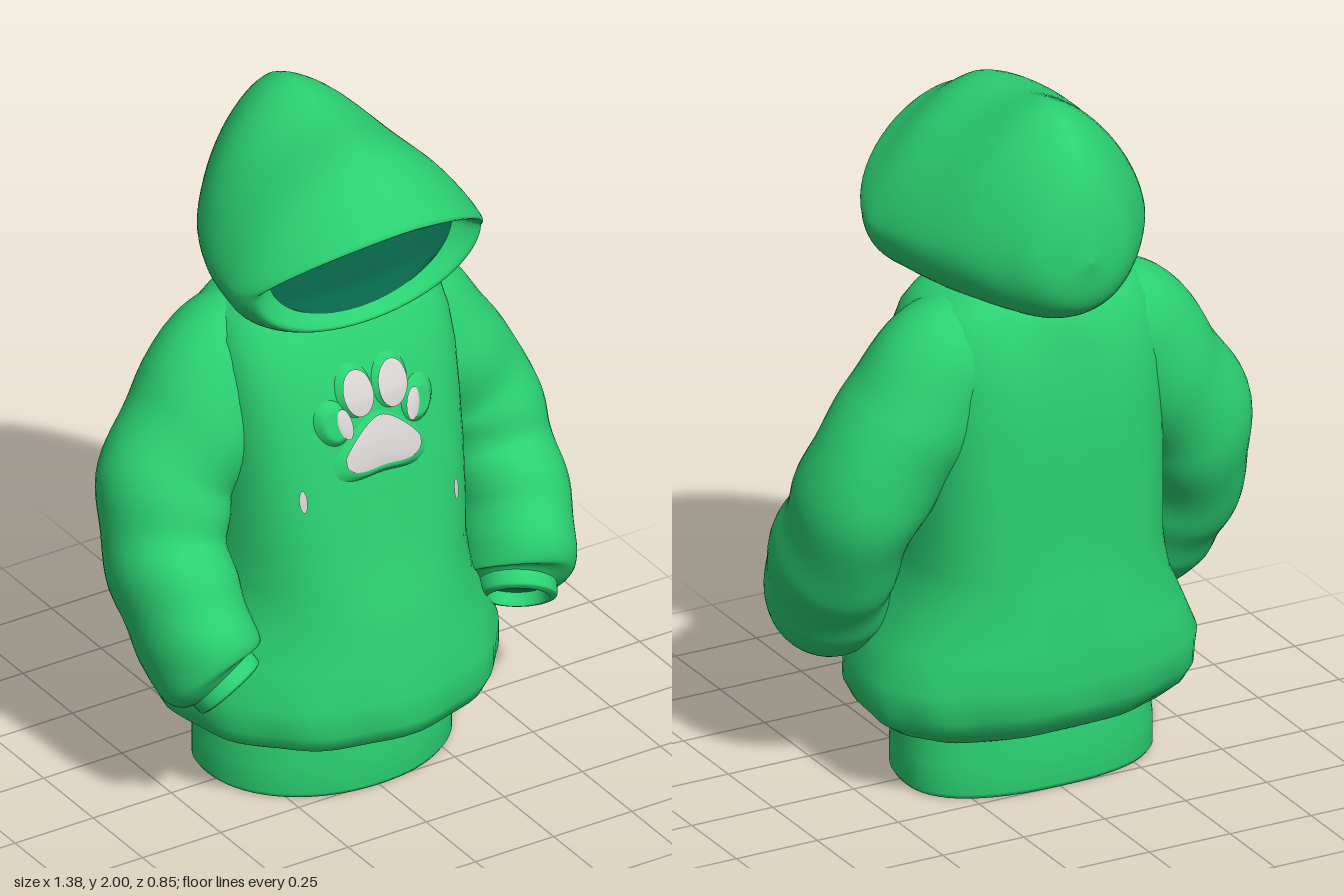
import * as THREE from 'three';

const V = (x, y, z) => new THREE.Vector3(x, y, z);
const mat = (name, color) => new THREE.MeshStandardMaterial({ name, color });

// Skin closed rings into a smooth surface; faces point outward, or inward on request
function loft(rings, inward = false) {
  const n = rings[0].length, pos = [], idx = [], c = V(0, 0, 0);
  rings.forEach(r => r.forEach(p => { pos.push(p.x, p.y, p.z); c.add(p); }));
  c.divideScalar(n * rings.length);
  for (let i = 0; i < rings.length - 1; i++) {
    for (let j = 0; j < n; j++) {
      const a = i * n + j, b = i * n + (j + 1) % n;
      idx.push(a, b, a + n, b, b + n, a + n);
    }
  }
  const at = k => V(pos[3 * k], pos[3 * k + 1], pos[3 * k + 2]).sub(c);
  let vol = 0;
  for (let k = 0; k < idx.length; k += 3) vol += at(idx[k]).dot(at(idx[k + 1]).cross(at(idx[k + 2])));
  if ((vol < 0) !== inward) idx.reverse();
  return surface(pos, idx);
}

function surface(pos, idx) {
  const g = new THREE.BufferGeometry();
  g.setAttribute('position', new THREE.Float32BufferAttribute(pos, 3));
  g.setIndex(idx);
  g.computeVertexNormals();
  return g;
}

// Torso rows: y, half width, front z, back z
const BODY = [
  [0.17, 0.365, 0.27, -0.26], [0.185, 0.41, 0.33, -0.29], [0.22, 0.46, 0.395, -0.325],
  [0.27, 0.485, 0.42, -0.355], [0.35, 0.488, 0.415, -0.37], [0.45, 0.445, 0.4, -0.365],
  [0.55, 0.4, 0.38, -0.36], [0.63, 0.38, 0.365, -0.355], [0.68, 0.372, 0.345, -0.35],
  [0.8, 0.365, 0.32, -0.345], [0.95, 0.362, 0.29, -0.34], [1.1, 0.362, 0.26, -0.335],
  [1.22, 0.362, 0.23, -0.325], [1.31, 0.355, 0.195, -0.305], [1.38, 0.34, 0.16, -0.28],
  [1.43, 0.305, 0.13, -0.25], [1.465, 0.25, 0.1, -0.215], [1.475, 0.17, 0.07, -0.17],
];
const BAND = [
  [0.19, 0.36, 0.265, -0.255], [0.1, 0.37, 0.272, -0.262], [0.015, 0.37, 0.272, -0.262],
  [0, 0.36, 0.262, -0.252], [0.005, 0.345, 0.248, -0.238], [0.19, 0.34, 0.245, -0.235],
];
const ZM = -0.04;
// Sections are round at the hem and squarer at the chest
const squareness = (y, hem) => hem + (3 - hem) * THREE.MathUtils.smoothstep(y, 0.5, 0.95);

// Closed torso section with a soft groove down the back
function section([y, w, zf, zb], inset = 0, folds = false, n = 72) {
  return Array.from({ length: n }, (_, i) => {
    const a = i / n * Math.PI * 2, s = Math.sin(a), c = Math.cos(a), e = 2 / squareness(y, c > 0 ? 2.1 : 2.4);
    const sx = Math.sign(s) * Math.abs(s) ** e, cz = Math.abs(c) ** e;
    const ripple = folds && y > 0.18 && y < 0.3 ? 1 + 0.012 * Math.sin(11 * a + 1) : 1;
    const x = sx * (w - inset) * ripple;
    let z = ZM + (c > 0 ? (zf - inset - ZM) * cz : (zb + inset - ZM) * cz) * ripple;
    if (folds && c < 0 && y > 0.3 && y < 1.35) z += 0.02 * Math.exp(-((x / 0.08) ** 2)) * cz;
    return V(x, y, z);
  });
}

// Depth of the chest surface at a point
function frontZ(x, y) {
  const k = BODY.findIndex(r => r[0] > y), a = BODY[k - 1], b = BODY[k], t = (y - a[0]) / (b[0] - a[0]);
  const w = a[1] + (b[1] - a[1]) * t, zf = a[2] + (b[2] - a[2]) * t, p = squareness(y, 2.1);
  return ZM + (zf - ZM) * (1 - Math.min(1, Math.abs(x) / w) ** p) ** (1 / p);
}

// Patch following the chest: outline(angle) gives an offset, lift(radius) gives height
function patch(cx, cy, outline, lift) {
  const rings = 8, n = 40, pos = [], idx = [];
  for (let i = 0; i <= rings; i++) {
    for (let j = 0; j < n; j++) {
      const r = i / rings, [dx, dy] = outline(j / n * Math.PI * 2), x = cx + dx * r, y = cy + dy * r;
      pos.push(x, y, frontZ(x, y) + lift(r));
      if (i < rings) {
        const a = i * n + j, b = i * n + (j + 1) % n;
        idx.push(a, a + n, b, b, a + n, b + n);
      }
    }
  }
  return surface(pos, idx);
}
const oval = (rx, ry, tilt = 0) => a => {
  const x = rx * Math.cos(a), y = ry * Math.sin(a), c = Math.cos(tilt), s = Math.sin(tilt);
  return [x * c - y * s, x * s + y * c];
};
// Rounded pad: wide below, narrow above, notched underneath
const padShape = k => a => {
  const s = Math.sin(a), w = s > 0 ? 0.12 * (1 - 0.45 * s) : 0.12;
  return [k * w * Math.cos(a), k * (s > 0 ? 0.095 * s : -0.057 * Math.abs(s) ** 0.5 + 0.012 * Math.max(0, -s) ** 8)];
};

// Hood stations from the face opening to the back: top, side and bottom points
const HOOD = [
  [V(0, 1.785, 0.37), V(0.295, 1.645, 0.165), V(0, 1.45, 0.16)],
  [V(0, 1.815, 0.41), V(0.355, 1.62, 0.21), V(0, 1.42, 0.19)],
  [V(0, 1.875, 0.32), V(0.385, 1.6, 0.14), V(0, 1.4, 0.14)],
  [V(0, 1.95, 0.19), V(0.378, 1.6, 0.06), V(0, 1.4, 0.05)],
  [V(0, 1.968, 0.0), V(0.35, 1.61, -0.06), V(0, 1.4, -0.09)],
  [V(0, 2.0, -0.19), V(0.29, 1.62, -0.2), V(0, 1.405, -0.22)],
  [V(0, 1.955, -0.3), V(0.22, 1.62, -0.3), V(0, 1.42, -0.32)],
  [V(0, 1.83, -0.385), V(0.135, 1.62, -0.385), V(0, 1.48, -0.395)],
  [V(0, 1.62, -0.428), V(0, 1.62, -0.428), V(0, 1.62, -0.428)],
];
function hoodRings(stations, steps = 40, n = 64) {
  const [top, side, bot] = [0, 1, 2].map(k => new THREE.CatmullRomCurve3(stations.map(s => s[k])));
  return Array.from({ length: steps + 1 }, (_, i) => {
    const t = i / steps, T = top.getPoint(t), S = side.getPoint(t), B = bot.getPoint(t);
    return Array.from({ length: n }, (_, j) => {
      const a = j / n * Math.PI * 2, s = Math.sin(a), c = Math.cos(a), e = c > 0 ? 2 / 1.55 : 1;
      const f = Math.abs(c) ** e, end = c > 0 ? T : B;
      return V(S.x * Math.sign(s) * Math.abs(s) ** e, S.y + (end.y - S.y) * f, S.z + (end.z - S.z) * f);
    });
  });
}

// Sleeve stations: centre x, y, z, then radius front-to-back and radius sideways
const SLEEVE = [
  [0.16, 1.285, -0.1, 0.16, 0.18], [0.27, 1.24, -0.09, 0.18, 0.2], [0.38, 1.1, -0.075, 0.195, 0.19],
  [0.48, 0.95, -0.06, 0.19, 0.185], [0.52, 0.8, -0.01, 0.195, 0.165], [0.525, 0.67, 0.07, 0.2, 0.16],
  [0.507, 0.555, 0.14, 0.2, 0.157], [0.49, 0.475, 0.185, 0.17, 0.15], [0.475, 0.445, 0.21, 0.1, 0.1],
];
const CUFF = [
  [0.485, 0.485, 0.185, 0.11, 0.105], [0.47, 0.455, 0.216, 0.112, 0.107], [0.46, 0.436, 0.238, 0.108, 0.103],
  [0.458, 0.432, 0.242, 0.088, 0.083], [0.476, 0.466, 0.205, 0.082, 0.077],
];
const CUFF_LINING = [
  [0.464, 0.443, 0.229, 0.086, 0.081], [0.472, 0.458, 0.213, 0.08, 0.075], [0.482, 0.478, 0.192, 0.001, 0.001],
];
// Tube of elliptical rings along the stations; an aim fixes the facing of every ring
function tubeRings(rows, side, steps, folds, aim, n = 40) {
  const path = new THREE.CatmullRomCurve3(rows.map(r => V(r[0] * side, r[1], r[2])));
  const radii = new THREE.CatmullRomCurve3(rows.map((r, i) => V(r[3], r[4], i)));
  return Array.from({ length: steps + 1 }, (_, i) => {
    const t = i / steps, p = path.getPoint(t), r = radii.getPoint(t), T = aim || path.getTangent(t);
    const u = V(0, 0, 1).addScaledVector(T, -T.z).normalize(), w = T.clone().cross(u);
    return Array.from({ length: n }, (_, j) => {
      const a = j / n * Math.PI * 2, env = Math.sin(Math.PI * t) ** 2;
      const k = 1 + folds * env * (0.03 * Math.sin(t * 34 + 1.4 * Math.sin(a)) + 0.015 * Math.sin(3 * a + t * 9));
      return p.clone().addScaledVector(u, r.x * k * Math.cos(a)).addScaledVector(w, r.y * k * Math.sin(a));
    });
  });
}

export function createModel() {
  const group = new THREE.Group();
  group.name = 'hoodie';
  const green = mat('green fabric', 0x2bd172), lining = mat('dark lining', 0x076448), white = mat('pale print', 0xdcd7d6);
  const add = (name, geo, m) => {
    const mesh = new THREE.Mesh(geo, m);
    mesh.name = name;
    group.add(mesh);
  };

  // Torso, hem band and inner lining
  add('torso', loft(BODY.map(r => section(r, 0, true))), green);
  add('hemBand', loft(BAND.map(r => section(r))), green);
  add('torsoLining', loft(BODY.map(r => section(r, 0.03)), true), lining);

  // Hood and its lining, whose floor covers the collar
  add('hood', loft(hoodRings(HOOD)), green);
  const inner = HOOD.filter((_, i) => i !== 1).map((s, i) => i === 0 ? s :
    s.map(p => V(p.x * 0.92, Math.max(1.485, 1.65 + (p.y - 1.65) * 0.9), p.z * 0.95 - 0.01)));
  add('hoodLining', loft(hoodRings(inner), true), lining);

  // Sleeves and cuffs
  for (const side of [1, -1]) {
    const label = side > 0 ? 'left' : 'right', aim = V(-0.4 * side, -0.68, 0.62).normalize();
    add(label + 'Sleeve', loft(tubeRings(SLEEVE, side, 64, 1)), green);
    add(label + 'Cuff', loft(tubeRings(CUFF, side, 24, 0, aim)), green);
    add(label + 'CuffLining', loft(tubeRings(CUFF_LINING, side, 10, 0, aim), true), lining);
  }

  // Raised paw print: soft green swellings under pale pads
  const swell = r => 0.024 * Math.min(1, (1 - r) * 2.6) - 0.004;
  const flat = r => 0.026 - 0.004 * r * r;
  add('padSwelling', patch(0, 1.05, padShape(1.3), swell), green);
  add('mainPad', patch(0, 1.07, padShape(1), flat), white);
  for (const s of [1, -1]) {
    add('innerToeSwelling', patch(s * 0.057, 1.237, oval(0.06, 0.08, s * -0.1), swell), green);
    add('innerToe', patch(s * 0.055, 1.237, oval(0.046, 0.064, s * -0.1), flat), white);
    add('outerToeSwelling', patch(s * 0.135, 1.165, oval(0.055, 0.07, s * -0.3), swell), green);
    add('outerToe', patch(s * 0.108, 1.165, oval(0.021, 0.045, s * -0.2), flat), white);
  }

  // Small drawstring tips
  for (const [x, y] of [[-0.24, 0.96], [0.24, 0.86]]) {
    add('drawstringTip', patch(x, y, oval(0.01, 0.032), () => 0.006), white);
  }
  return group;
}
